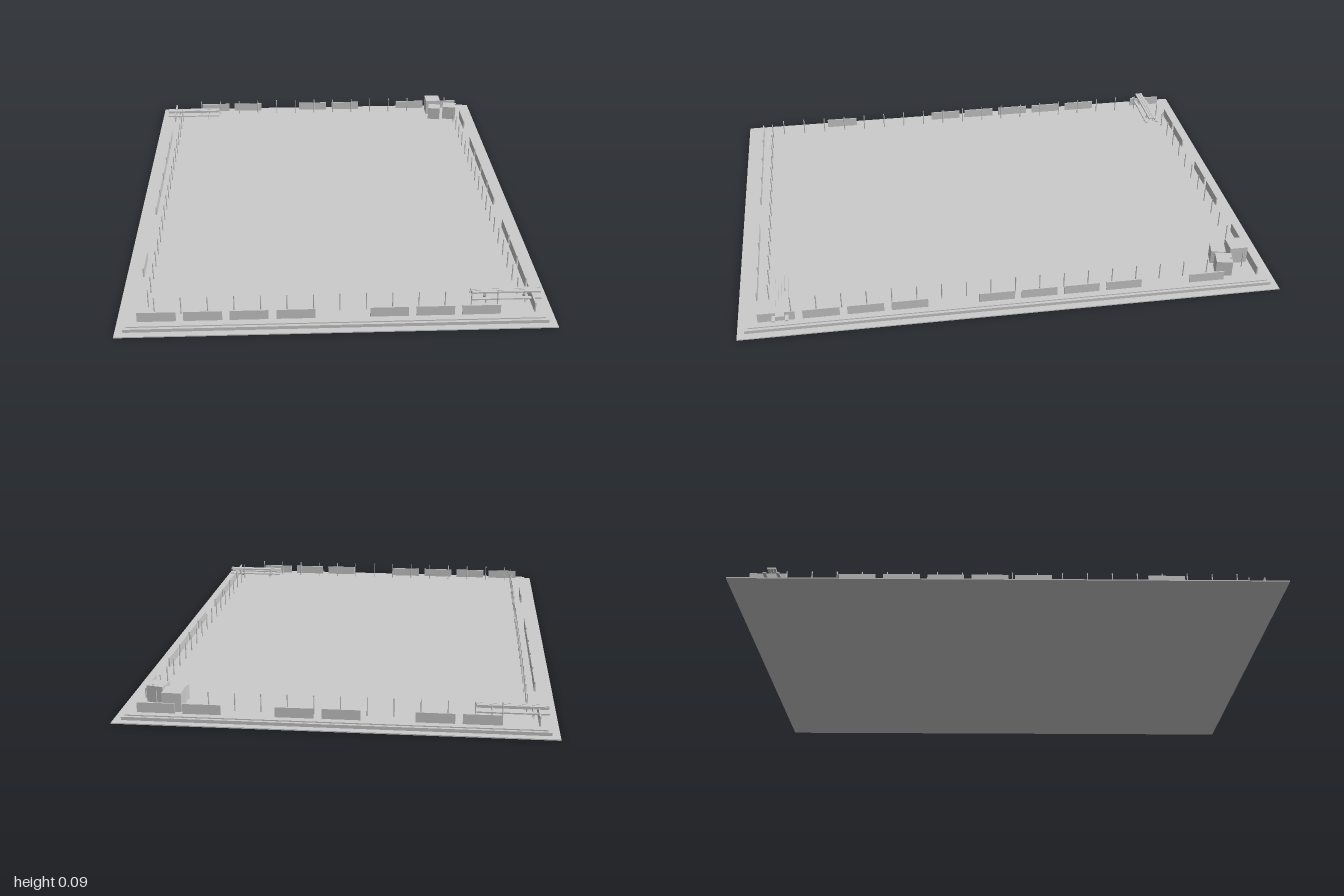
import * as THREE from 'three';

export function createModel() {
  const root = new THREE.Group();
  const grey = new THREE.MeshStandardMaterial({ color: 0xcccccc });
  grey.name = 'lightGrey';

  function box(parent, name, w, h, d, x, y, z, turn = 0, tilt = 0) {
    const m = new THREE.Mesh(new THREE.BoxGeometry(w, h, d), grey);
    m.name = name;
    m.position.set(x, y, z);
    m.rotation.set(tilt, turn, 0);
    parent.add(m);
    return m;
  }
  const group = (name) => {
    const g = new THREE.Group();
    g.name = name;
    root.add(g);
    return g;
  };

  // stepped ground slab
  box(root, 'groundPlate', 1.512, 0.004, 2, 0, 0.002, 0);
  box(root, 'lowerStep', 1.456, 0.012, 1.948, 0, 0.01, 0);
  box(root, 'upperStep', 1.434, 0.004, 1.926, 0, 0.018, 0);
  const floor = 0.02;

  // fence panels with gaps, listed by their centres along each side
  const fence = group('fence');
  const panelY = floor + 0.018;
  const panel = (x, z, alongX) =>
    box(fence, 'fencePanel', alongX ? 0.133 : 0.005, 0.036, alongX ? 0.005 : 0.133, x, panelY, z);
  for (const x of [-0.616, -0.458, -0.3, -0.14, 0.182, 0.341, 0.5]) panel(x, 0.932, true);
  for (const x of [-0.5, -0.342, -0.024, 0.136, 0.456, 0.615]) panel(x, -0.935, true);
  for (const z of [-0.867, -0.547, -0.387, -0.227, -0.067, 0.09, 0.573]) panel(-0.69, z, false);
  for (const z of [-0.735, -0.417, -0.257, -0.098, 0.06, 0.38, 0.54, 0.7, 0.86]) panel(0.688, z, false);

  // thin posts just inside the fence
  const posts = group('posts');
  const postGeo = new THREE.CylinderGeometry(0.0022, 0.0022, 0.067, 6);
  function post(x, z) {
    const m = new THREE.Mesh(postGeo, grey);
    m.name = 'post';
    m.position.set(x, floor + 0.0335, z);
    posts.add(m);
  }
  const step = 0.0915;
  for (let k = -7; k <= 6; k++) {
    post(0.014 + step * k, 0.888);
    post(-0.018 + step * (k + 1), -0.895);
  }
  for (let k = -9; k <= 9; k++) {
    post(-0.652, 0.015 + step * k);
    post(0.648, -0.015 + step * k);
  }

  // picnic tables in two opposite corners
  function table(x, z) {
    const t = group('picnicTable');
    t.position.set(x, floor, z);
    for (const s of [-1, 0, 1]) box(t, 'tabletopPlank', 0.245, 0.006, 0.0095, 0, 0.039, s * 0.0105);
    for (const s of [-1, 1]) {
      box(t, 'seatPlank', 0.245, 0.005, 0.012, 0, 0.021, s * 0.024);
      // A-frame at each end
      const ex = s * 0.07;
      box(t, 'seatBeam', 0.006, 0.004, 0.056, ex, 0.0165, 0);
      for (const side of [-1, 1])
        box(t, 'leg', 0.006, 0.04, 0.005, ex, 0.0185, side * 0.0125, 0, -side * 0.42);
    }
  }
  table(-0.602, -0.85);
  table(0.598, 0.845);

  // crates in the back left corner
  const crates = group('crates');
  const crate = (size, x, z, turn) =>
    box(crates, 'crate', size, size, size, x, floor + size / 2, z, turn);
  crate(0.068, 0.563, -0.888, 0);
  crate(0.055, 0.564, -0.815, -0.2);
  crate(0.061, 0.637, -0.815, -0.2);

  return root;
}
